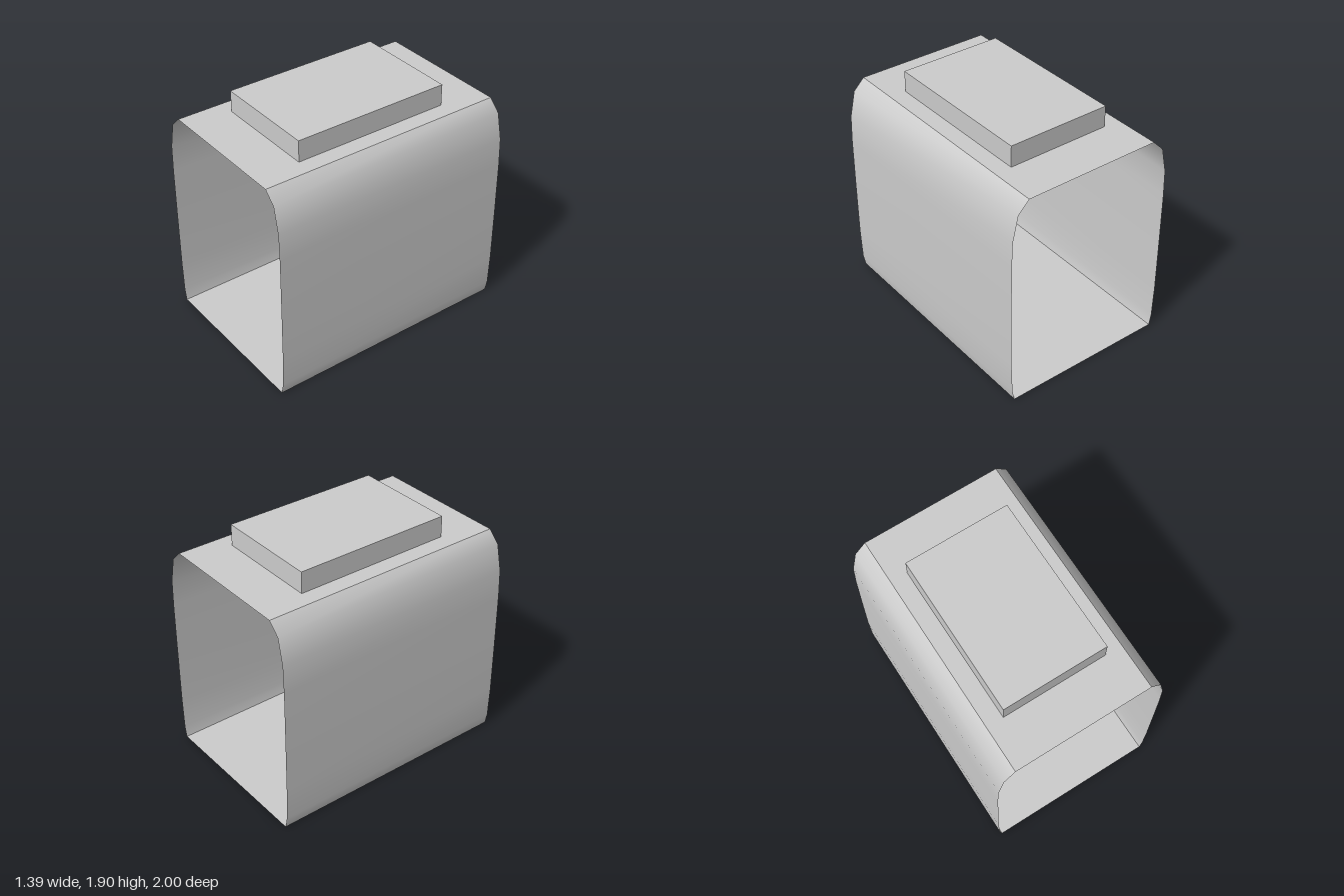
import * as THREE from 'three';

// Sweeps an open cross-section (counter-clockwise seen from +z) along the depth.
function sweep(points, halfDepth) {
  const positions = [];
  const index = [];
  points.forEach(([x, y], i) => {
    positions.push(x, y, halfDepth, x, y, -halfDepth);
    if (i < points.length - 1) {
      const a = i * 2;
      index.push(a, a + 1, a + 3, a, a + 3, a + 2);
    }
  });
  const geometry = new THREE.BufferGeometry();
  geometry.setAttribute('position', new THREE.Float32BufferAttribute(positions, 3));
  geometry.setIndex(index);
  geometry.computeVertexNormals();
  return geometry;
}

export function createModel() {
  const group = new THREE.Group();
  group.name = 'openSleeve';
  const grey = new THREE.MeshStandardMaterial({ color: 0xcccccc, side: THREE.DoubleSide });
  grey.name = 'light grey';

  const add = (name, geometry) => {
    const mesh = new THREE.Mesh(geometry, grey);
    mesh.name = name;
    group.add(mesh);
    return mesh;
  };

  // Bulging side wall, from the floor edge up to the roof edge
  const wall = [
    [0.667, 0], [0.685, 0.09], [0.695, 0.35], [0.697, 0.78],
    [0.697, 1.22], [0.69, 1.44], [0.645, 1.645], [0.555, 1.735],
  ];
  const mirrored = wall.map(([x, y]) => [-x, y]).reverse();
  const floorEdge = wall[0];
  const roofEdge = wall[wall.length - 1];

  // Tube open at the front and back, with sharp floor and roof edges
  add('leftWall', sweep(wall, 1));
  add('roof', sweep([roofEdge, mirrored[0]], 1));
  add('rightWall', sweep(mirrored, 1));
  add('floor', sweep([mirrored[mirrored.length - 1], floorEdge], 1));

  // Raised block on the roof
  add('roofBlock', new THREE.BoxGeometry(0.84, 0.17, 1.27)).position.y = 1.82;

  return group;
}
